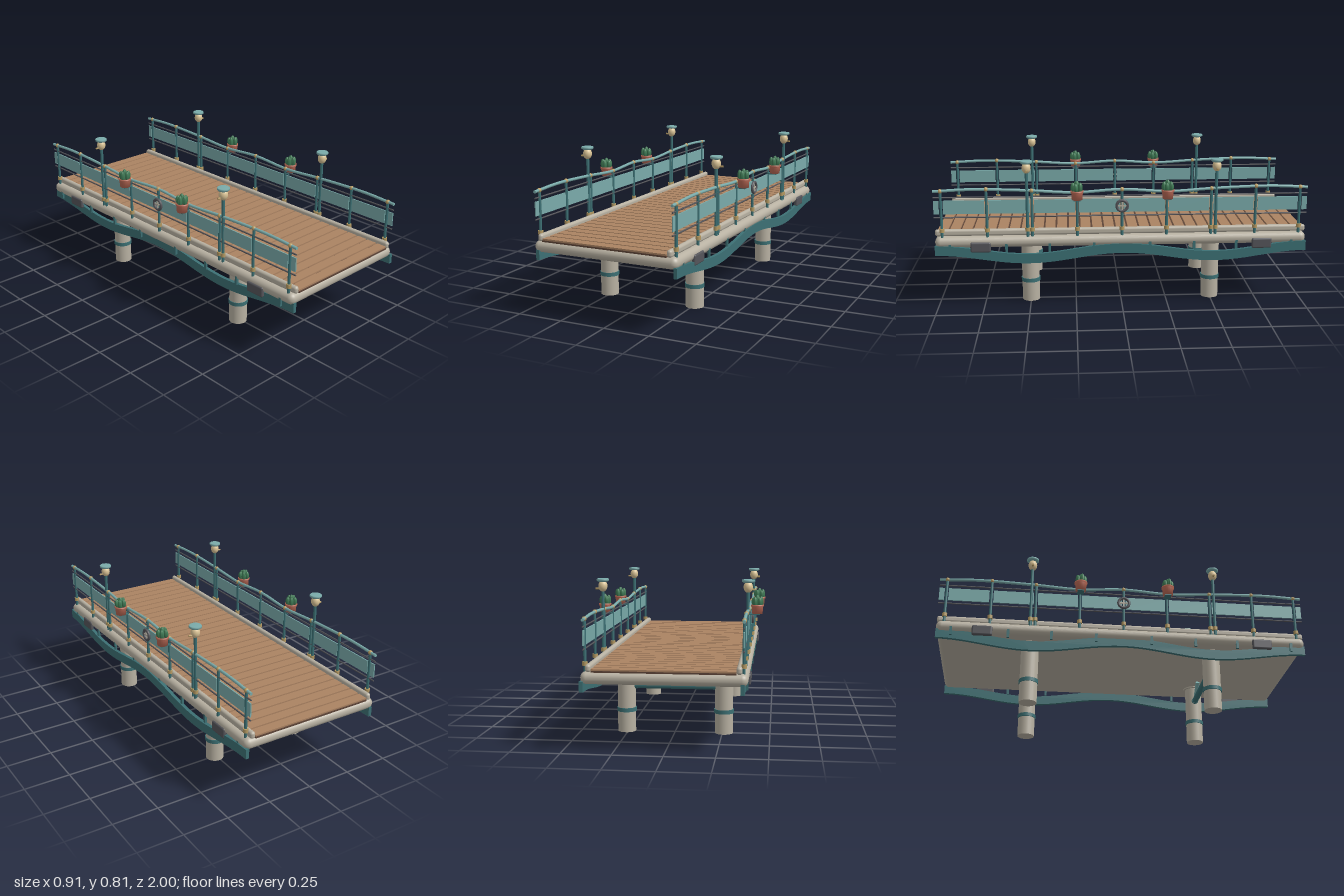
import * as THREE from 'three';
import { RoundedBoxGeometry } from 'three/addons/geometries/RoundedBoxGeometry.js';

const mat = (name, color, extra = {}) => Object.assign(new THREE.MeshStandardMaterial({ color, ...extra }), { name });

export function createModel() {
  const stone = mat('stone', 0xb8b1a2), wood = mat('wood', 0xab8362), darkWood = mat('dark wood', 0x5e4538);
  const teal = mat('teal', 0x3c7074), paleTeal = mat('pale teal', 0x7aabaa), gold = mat('brass', 0xb59a63);
  const cream = mat('cream', 0xdcc597), clay = mat('terracotta', 0xbd6b57), green = mat('cactus green', 0x3f7a55);
  const charcoal = mat('charcoal', 0x55555a);

  const model = new THREE.Group();
  model.name = 'footbridge';

  const add = (parent, name, geometry, material, x = 0, y = 0, z = 0) => {
    const m = new THREE.Mesh(geometry, material);
    m.name = name;
    m.position.set(x, y, z);
    parent.add(m);
    return m;
  };
  const group = (parent, name, x = 0, y = 0, z = 0) => {
    const g = new THREE.Group();
    g.name = name;
    g.position.set(x, y, z);
    parent.add(g);
    return g;
  };
  const box = (w, h, d) => new THREE.BoxGeometry(w, h, d);
  const cyl = (r, h, n = 16, r2 = r) => new THREE.CylinderGeometry(r, r2, h, n);
  const lathe = (pts, n = 20) => new THREE.LatheGeometry(pts.map(p => new THREE.Vector2(...p)), n);
  // Round rod between two points
  const rod = (parent, name, a, b, r, material) => {
    const from = new THREE.Vector3(...a), to = new THREE.Vector3(...b);
    const m = add(parent, name, cyl(r, from.distanceTo(to), 14), material);
    m.position.copy(from).add(to).multiplyScalar(0.5);
    m.quaternion.setFromUnitVectors(new THREE.Vector3(0, 1, 0), to.sub(from).normalize());
    return m;
  };

  // Deck: rounded slab, dark bed and planks
  add(model, 'deckSlab', new RoundedBoxGeometry(0.8, 0.062, 2, 5, 0.03), stone, 0, 0.369, 0);
  add(model, 'plankBed', box(0.69, 0.008, 1.998), darkWood, 0, 0.402, 0);
  const planks = group(model, 'planks');
  const count = 31, pitch = 2 / count;
  for (let i = 0; i < count; i++) {
    add(planks, 'plank', box(0.69, 0.013, pitch - 0.01), wood, 0, 0.4075, -1 + pitch * (i + 0.5));
  }

  // Pier pairs with bands, caps, cross tube and braces
  for (const z of [-0.5, 0.5]) {
    const pier = group(model, 'pier', 0, 0, z);
    for (const s of [-1, 1]) {
      const x = s * 0.258;
      add(pier, 'pierColumn', cyl(0.048, 0.338, 24), stone, x, 0.169, 0);
      add(pier, 'pierBand', cyl(0.052, 0.021, 24), teal, x, 0.119, 0);
      add(pier, 'pierCap', cyl(0.06, 0.008, 24), stone, x, 0.336, 0);
      rod(pier, 'diagonalBrace', [s * 0.2, 0.245, 0], [s * 0.112, 0.326, 0], 0.012, paleTeal);
      add(pier, 'braceCollar', cyl(0.019, 0.015, 16), teal, s * 0.208, 0.247, 0).rotation.z = Math.PI / 2;
    }
    rod(pier, 'crossTube', [-0.215, 0.247, 0], [0.215, 0.247, 0], 0.017, teal);
  }

  // Wavy fascia outline, shared by both sides
  const wave = z => 0.276 + 0.025 * Math.cos(2 * Math.PI * z);
  const outline = [];
  for (let i = 0; i <= 48; i++) outline.push(new THREE.Vector2(-1 + i / 24, wave(-1 + i / 24)));
  for (let i = 48; i >= 0; i--) outline.push(new THREE.Vector2(-1 + i / 24, wave(-1 + i / 24) + 0.052));
  const fascia = new THREE.ExtrudeGeometry(new THREE.Shape(outline), { depth: 0.019, bevelEnabled: false });
  fascia.rotateY(Math.PI / 2);

  // Gently waving handrail
  const railPoints = [[-1, 0.648], [-0.8, 0.657], [-0.5, 0.648], [-0.25, 0.634], [0, 0.648],
    [0.25, 0.634], [0.5, 0.648], [0.8, 0.657], [1, 0.648]];
  const railCurve = new THREE.CatmullRomCurve3(railPoints.map(([z, y]) => new THREE.Vector3(0, y, z)));
  const railGeometry = new THREE.TubeGeometry(railCurve, 64, 0.008, 10);

  // Ribbed cactus lobe, standing on its base
  const lobeGeometry = new THREE.SphereGeometry(1, 24, 10);
  const p = lobeGeometry.attributes.position;
  for (let i = 0; i < p.count; i++) {
    const rib = 1 + 0.12 * Math.cos(8 * Math.atan2(p.getZ(i), p.getX(i)));
    p.setXYZ(i, p.getX(i) * rib, p.getY(i), p.getZ(i) * rib);
  }
  lobeGeometry.computeVertexNormals();

  const potGeometry = lathe([[0, 0], [0.028, 0], [0.031, 0.04], [0.035, 0.04], [0.035, 0.049], [0.029, 0.049], [0.028, 0.042], [0, 0.042]]);
  const globeGeometry = new THREE.SphereGeometry(0.024, 20, 14).scale(1, 1.25, 1);
  const capGeometry = lathe([[0, 0], [0.027, 0], [0.029, 0.004], [0.033, 0.005], [0.033, 0.013], [0.03, 0.016], [0, 0.016]], 24);

  for (const s of [-1, 1]) {
    const side = group(model, s > 0 ? 'leftSide' : 'rightSide');
    const X = s * 0.379;

    add(side, 'waveFascia', fascia, teal, s * 0.383 - (s < 0 ? 0.001 : 0), 0, 0);
    for (const z of [-0.92, -0.62, -0.39, -0.15, 0.15, 0.39, 0.62, 0.92]) {
      add(side, 'fasciaHanger', box(0.012, 0.05, 0.014), teal, s * 0.393, 0.339, z);
    }
    for (const z of [-0.757, 0.757]) {
      add(side, 'fenderBlock', new RoundedBoxGeometry(0.022, 0.056, 0.108, 3, 0.009), charcoal, s * 0.397, 0.344, z);
    }

    // Rounded curb
    add(side, 'curb', new RoundedBoxGeometry(0.028, 0.038, 2, 4, 0.0135), stone, s * 0.359, 0.417, 0);

    // Railing: top rail, two thin wires, posts and infill panels
    add(side, 'handrail', railGeometry, paleTeal, X, 0, 0);
    for (const end of [-1, 1]) add(side, 'railEnd', cyl(0.008, 0.002, 10), paleTeal, X, 0.648, end * 0.999).rotation.x = Math.PI / 2;
    for (const y of [0.506, 0.615]) rod(side, 'railWire', [X, y, -1], [X, y, 1], 0.004, charcoal);
    for (let i = -4; i <= 4; i++) {
      const z = i * 0.24;
      const top = railCurve.getPoint((z + 1) / 2).y;
      add(side, 'post', cyl(0.0075, top - 0.395, 12), teal, X, (top + 0.395) / 2, z);
      add(side, 'postCollar', cyl(0.0135, 0.02, 14), gold, X, 0.435, z);
      add(side, 'postKnob', new THREE.SphereGeometry(0.012, 14, 10), gold, X, top, z);
      if (i < 4) add(side, 'railPanel', box(0.006, 0.073, 0.218), paleTeal, X, 0.561, z + 0.12);
    }
    for (const z of [-0.985, 0.985]) add(side, 'railPanelEnd', box(0.006, 0.073, 0.028), paleTeal, X, 0.561, z);

    // Lamps
    for (const z of [-0.505, 0.505]) {
      const lamp = group(side, 'lamp', X, 0, z);
      add(lamp, 'lampPost', cyl(0.0085, 0.36, 14), teal, 0, 0.575, 0);
      add(lamp, 'lampCollar', cyl(0.0135, 0.02, 14), gold, 0, 0.435, 0);
      add(lamp, 'lampGlobe', globeGeometry, cream, 0, 0.77, 0);
      add(lamp, 'lampCap', capGeometry, paleTeal, 0, 0.793, 0);
      rod(lamp, 'lampKnob', [s * 0.015, 0.757, 0], [s * 0.038, 0.757, 0], 0.005, gold);
    }

    // Potted cacti hung outside the railing
    for (const z of [-0.24, 0.24]) {
      const planter = group(side, 'planter', s * 0.421, 0.605, z);
      add(planter, 'planterBracket', box(0.054, 0.006, 0.036), teal, -s * 0.012, -0.003, 0);
      add(planter, 'pot', potGeometry, clay);
      add(planter, 'soil', cyl(0.029, 0.003, 18), darkWood, 0, 0.044, 0);
      add(planter, 'cactusCenter', lobeGeometry, green, 0, 0.068, 0).scale.set(0.013, 0.034, 0.013);
      for (let i = 0; i < 5; i++) {
        const a = i * Math.PI * 2 / 5 + 0.3;
        add(planter, 'cactusLobe', lobeGeometry, green, 0.021 * Math.cos(a), 0.065, 0.021 * Math.sin(a))
          .scale.set(0.0115, 0.024 + 0.003 * (i % 3), 0.0115);
      }
    }

    // Ring ornament with crossed bars at mid span
    const ring = group(side, 'ringOrnament', s * 0.388, 0.56, 0);
    add(ring, 'ring', new THREE.TorusGeometry(0.029, 0.008, 10, 28), charcoal).rotation.y = Math.PI / 2;
    add(ring, 'ringBar', box(0.006, 0.008, 0.052), stone);
    add(ring, 'ringBar', box(0.006, 0.052, 0.008), stone);
  }
  return model;
}
